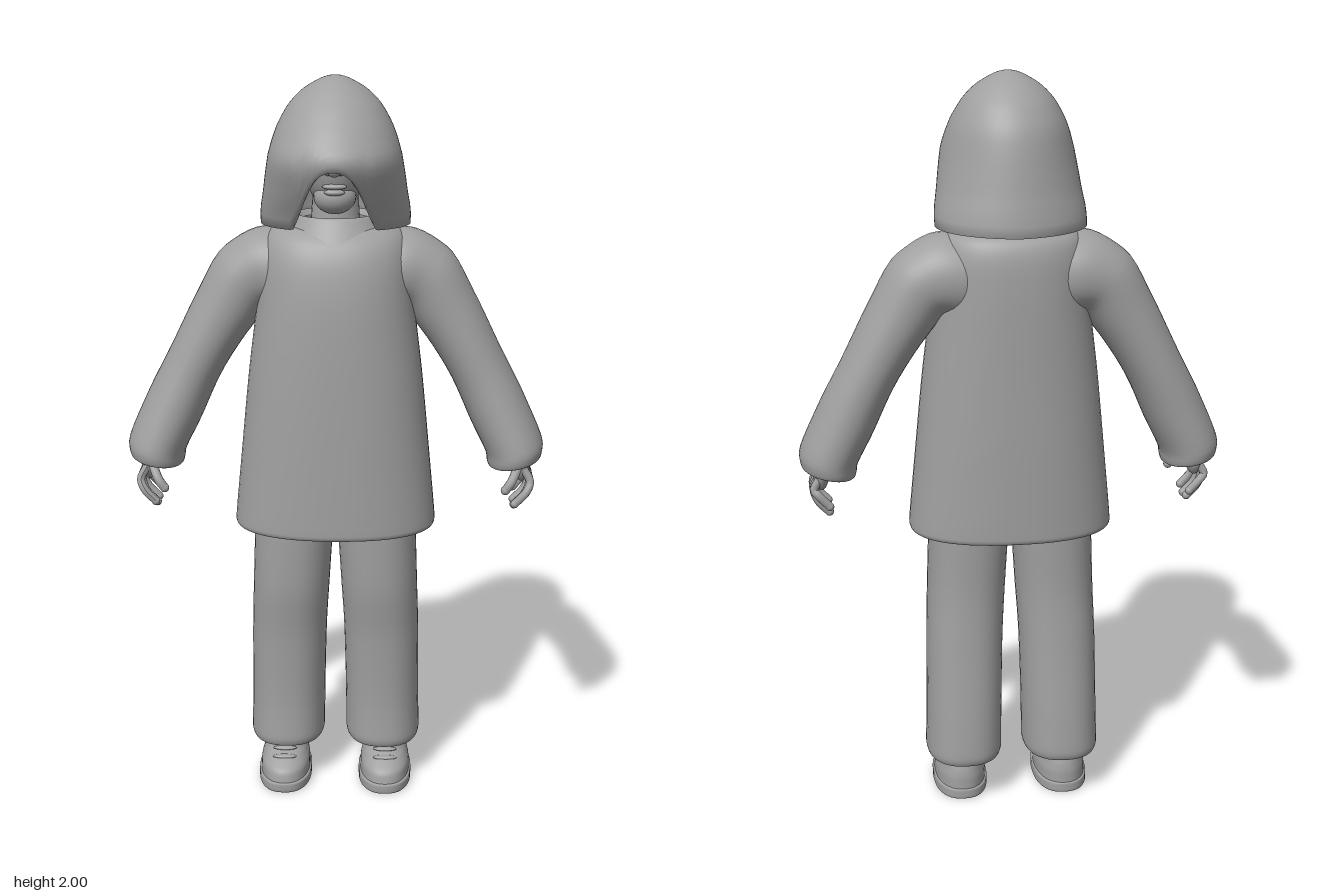
import * as THREE from 'three';

const cloth = new THREE.MeshStandardMaterial({ color: 0xa0a0a0, side: THREE.DoubleSide });
cloth.name = 'plain grey';

// Monotone smooth interpolation between rows of numbers at fractional index f
function sample(rows, f) {
  const i = Math.min(Math.floor(f), rows.length - 2), t = f - i;
  const row = (k) => rows[Math.max(0, Math.min(rows.length - 1, k))];
  const slope = (a, b) => (a * b > 0 ? (2 * a * b) / (a + b) : 0);
  return rows[i].map((p, c) => {
    const q = row(i + 1)[c], d = q - p;
    const m0 = i > 0 ? slope(p - row(i - 1)[c], d) : d;
    const m1 = i < rows.length - 2 ? slope(d, row(i + 2)[c] - q) : d;
    return p + m0 * t + (3 * d - 2 * m0 - m1) * t * t + (m0 + m1 - 2 * d) * t * t * t;
  });
}

// Skin of nj + 1 closed rings, each of ni points given by point(j, angle)
function skin(nj, ni, point) {
  const pos = [], idx = [];
  for (let j = 0; j <= nj; j++) {
    for (let i = 0; i < ni; i++) {
      pos.push(...point(j, (i / ni) * Math.PI * 2));
      if (j === nj) continue;
      const a = j * ni + i, b = j * ni + ((i + 1) % ni);
      idx.push(a, b, b + ni, a, b + ni, a + ni);
    }
  }
  const g = new THREE.BufferGeometry();
  g.setAttribute('position', new THREE.Float32BufferAttribute(pos, 3));
  g.setIndex(idx);
  g.computeVertexNormals();
  return g;
}

// Loft through rows [x, y, tilt, halfWidth, zFront, zBack]; n is the squareness
function loft(rows, n = 2, ni = 40, steps = 5) {
  const pw = (v) => Math.sign(v) * Math.abs(v) ** (2 / n);
  return skin((rows.length - 1) * steps, ni, (j, a) => {
    const [x, y, tilt, r, zf, zb] = sample(rows, j / steps);
    const u = r * pw(Math.sin(a));
    return [x + u * Math.cos(tilt), y + u * Math.sin(tilt), (zf + zb) / 2 + ((zf - zb) / 2) * pw(Math.cos(a))];
  });
}

function ball(x, y, z, rx, ry, rz) {
  return new THREE.SphereGeometry(1, 24, 16).scale(rx, ry, rz).translate(x, y, z);
}

function mirrored(geometry) {
  const g = geometry.clone().scale(-1, 1, 1), ix = g.index.array;
  for (let i = 0; i < ix.length; i += 3) [ix[i], ix[i + 1]] = [ix[i + 1], ix[i]];
  g.computeVertexNormals();
  return g;
}

export function createModel() {
  const model = new THREE.Group();
  model.name = 'hoodedFigure';
  const add = (name, geometry) => {
    const mesh = new THREE.Mesh(geometry, cloth);
    mesh.name = name;
    model.add(mesh);
  };
  const pair = (name, geometry) => {
    add(name + 'Left', geometry);
    add(name + 'Right', mirrored(geometry));
  };

  // Coat body with turned-in hem and rounded shoulders
  add('coat', loft([
    [0, 0.9, 0, 0.23, 0.12, -0.18],
    [0, 0.79, 0, 0.25, 0.14, -0.2],
    [0, 0.775, 0, 0.268, 0.152, -0.212],
    [0, 0.79, 0, 0.276, 0.16, -0.22],
    [0, 1.0, 0, 0.256, 0.157, -0.22],
    [0, 1.2, 0, 0.236, 0.152, -0.218],
    [0, 1.4, 0, 0.212, 0.142, -0.217],
    [0, 1.52, 0, 0.203, 0.122, -0.212],
    [0, 1.58, 0, 0.185, 0.09, -0.195],
    [0, 1.605, 0, 0.14, 0.05, -0.15],
    [0, 1.6, 0, 0.07, 0.02, -0.08],
  ], 2.3, 56));

  // Sleeves, from the cuff lining up into the shoulder
  pair('sleeve', loft([
    [0.485, 1.02, 0.3, 0.03, 0.01, -0.08],
    [0.493, 0.965, 0.2, 0.06, 0.05, -0.13],
    [0.493, 0.955, 0.2, 0.072, 0.068, -0.15],
    [0.493, 0.985, 0.22, 0.079, 0.077, -0.16],
    [0.443, 1.1, 0.4, 0.081, 0.06, -0.163],
    [0.385, 1.22, 0.45, 0.078, 0.046, -0.167],
    [0.3, 1.37, 0.55, 0.088, 0.042, -0.172],
    [0.235, 1.46, 0.9, 0.102, 0.045, -0.18],
    [0.16, 1.48, 1.3, 0.118, 0.06, -0.187],
    [0.08, 1.48, 1.45, 0.11, 0.05, -0.18],
  ], 2.1));

  // Hands: palm, four curled fingers and a thumb
  pair('palm', ball(0.513, 0.955, -0.03, 0.024, 0.06, 0.056));
  const digit = (name, points, r) => {
    const curve = new THREE.CatmullRomCurve3(points.map((p) => new THREE.Vector3(...p)));
    pair(name, new THREE.TubeGeometry(curve, 14, r, 10));
    pair(name + 'Tip', ball(...points[points.length - 1], r, r, r));
  };
  [[0.012, 0.03, 0.845], [-0.017, -0.005, 0.832], [-0.043, -0.043, 0.835], [-0.066, -0.077, 0.86]].forEach(([z0, z1, y], i) => {
    digit('finger' + (i + 1), [
      [0.517, 0.94, z0], [0.534, 0.905, z0 * 0.6 + z1 * 0.4],
      [0.523, y + 0.033, z1], [0.493, y, z1],
    ], 0.0115);
  });
  digit('thumb', [[0.508, 0.97, 0.0], [0.492, 0.94, 0.045], [0.478, 0.915, 0.063], [0.464, 0.895, 0.064]], 0.0125);

  // Trousers with turned-in cuffs
  pair('trouserLeg', loft([
    [0.14, 0.2, 0, 0.06, 0.03, -0.14],
    [0.138, 0.135, 0, 0.085, 0.05, -0.17],
    [0.137, 0.12, 0, 0.097, 0.062, -0.187],
    [0.136, 0.145, 0, 0.105, 0.072, -0.197],
    [0.134, 0.25, 0, 0.104, 0.068, -0.19],
    [0.13, 0.45, 0, 0.105, 0.078, -0.172],
    [0.122, 0.62, 0, 0.107, 0.1, -0.163],
    [0.114, 0.8, 0, 0.109, 0.105, -0.168],
    [0.112, 0.92, 0, 0.105, 0.09, -0.165],
  ], 2.3));

  // Shoes: sole, upper and laces
  const shoeX = 0.143;
  pair('sole', loft([
    [shoeX, 0, 0, 0.001, -0.01, -0.012],
    [shoeX, 0, 0, 0.07, 0.114, -0.145],
    [shoeX, 0.006, 0, 0.075, 0.12, -0.15],
    [shoeX, 0.026, 0, 0.075, 0.121, -0.15],
    [shoeX, 0.03, 0, 0.068, 0.112, -0.144],
  ], 2.4, 40, 3));
  pair('shoeUpper', loft([
    [shoeX, 0.028, 0, 0.07, 0.115, -0.146],
    [shoeX, 0.055, 0, 0.069, 0.108, -0.146],
    [shoeX, 0.08, 0, 0.061, 0.075, -0.143],
    [shoeX, 0.1, 0, 0.054, 0.036, -0.138],
    [shoeX, 0.13, 0, 0.052, 0.015, -0.135],
    [shoeX, 0.22, 0, 0.05, 0, -0.125],
  ], 2.3));
  for (const [y, z] of [[0.085, 0.058], [0.1, 0.034], [0.113, 0.022]]) {
    pair('lace', ball(shoeX, y, z, 0.034, 0.006, 0.01));
  }

  // Head: face, chin, nose, lips, neck and coat collar
  add('head', ball(0, 1.785, -0.015, 0.088, 0.135, 0.11));
  add('chin', ball(0, 1.69, 0.035, 0.056, 0.045, 0.05));
  add('nose', ball(0, 1.768, 0.098, 0.019, 0.018, 0.025));
  pair('nostril', ball(0.015, 1.763, 0.088, 0.012, 0.011, 0.014));
  add('upperLip', ball(0, 1.723, 0.08, 0.032, 0.008, 0.014));
  add('lowerLip', ball(0, 1.708, 0.079, 0.027, 0.009, 0.014));
  add('neck', new THREE.CylinderGeometry(0.058, 0.07, 0.17, 24).translate(0, 1.64, -0.03));
  add('collar', loft([
    [0, 1.575, 0, 0.135, 0.095, -0.15],
    [0, 1.61, -0.0, 0.118, 0.07, -0.14],
    [0, 1.635, 0, 0.105, 0.05, -0.13],
    [0, 1.62, 0, 0.09, 0.035, -0.115],
  ]));

  // Hood rows [depth below crown, halfWidth, zFront, zBack]
  const hood = [
    [0, 0, 0, 0], [0.015, 0.05, 0.055, -0.055], [0.05, 0.1, 0.105, -0.105],
    [0.1, 0.137, 0.157, -0.15], [0.15, 0.16, 0.2, -0.177], [0.2, 0.175, 0.23, -0.19],
    [0.3, 0.19, 0.18, -0.207], [0.37, 0.2, 0.13, -0.22], [0.41, 0.199, 0.11, -0.225],
  ].map(([d, ...r]) => [Math.sqrt(d), ...r]);
  const hoodPoint = (s, a, scale) => {
    const away = Math.min(a, Math.PI * 2 - a);
    // Face opening arches up at the front of the rim
    const rim = Math.max(0.22, Math.min(0.22 + 0.175 * (away / 0.58) ** 2.5, 0.385 + 0.005 * away));
    const q = s * Math.sqrt(rim);
    let k = 0;
    while (k < hood.length - 2 && hood[k + 1][0] < q) k++;
    const [, w, zf, zb] = sample(hood, k + (q - hood[k][0]) / (hood[k + 1][0] - hood[k][0]));
    const mid = (zf + zb) / 2;
    return [w * scale * Math.sin(a), 2 - q * q - (1 - scale) * 0.25 * (1 - s), mid + ((zf - zb) / 2) * scale * Math.cos(a)];
  };
  const N = 28;
  add('hood', skin(2 * N + 1, 72, (j, a) => (j <= N ? hoodPoint(j / N, a, 0.93) : hoodPoint((2 * N + 1 - j) / N, a, 1))));

  return model;
}
